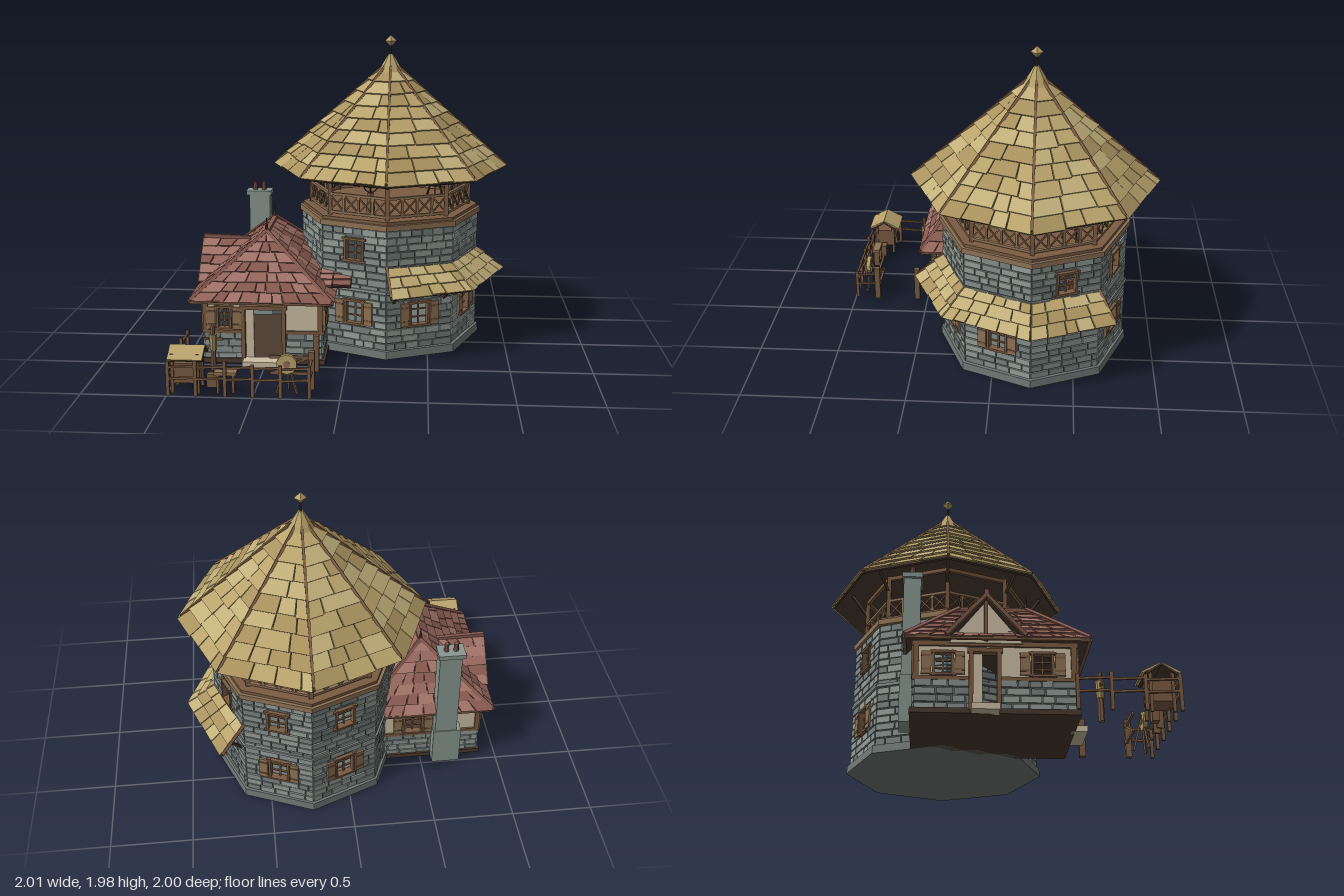
import * as THREE from 'three';
import { mergeGeometries } from 'three/addons/utils/BufferGeometryUtils.js';

const STONE = [0x87918d, 0x78827f, 0x959f99], MORTAR = 0x5f6765;
const STRAW = [0xb8a36b, 0xa8925e, 0xc2b07a], RED = [0x96675c, 0x875a50, 0xa3746a];
const WOOD = 0x7a5c42, PALE = 0x8f7355, DARK = 0x4a3a2e, PLASTER = 0xcdbfa5, CHIMNEY = 0x8a9891;
const V = (x, y, z) => new THREE.Vector3(x, y, z);
const UP = V(0, 1, 0), I = new THREE.Matrix4();

export function createModel() {
  const parts = new Map();
  let seed = 7;
  const rnd = () => (seed = (seed * 16807) % 2147483647) / 2147483647;
  const pick = (list) => list[Math.floor(rnd() * list.length)];

  // Collects geometry per part name and colour
  function add(name, color, geo, m = I) {
    const g = geo.index ? geo.toNonIndexed() : geo;
    g.deleteAttribute('uv');
    g.applyMatrix4(m);
    const byColor = parts.get(name) ?? parts.set(name, new Map()).get(name);
    (byColor.get(color) ?? byColor.set(color, []).get(color)).push(g);
  }
  const box = (name, color, w, h, d, x, y, z, m = I) =>
    add(name, color, new THREE.BoxGeometry(w, h, d).translate(x, y, z), m);
  const cyl = (name, color, r0, r1, h, n, x, y, z) =>
    add(name, color, new THREE.CylinderGeometry(r0, r1, h, n).translate(x, y, z));
  function beam(name, color, p, q, w, d = w, m = I) {
    const dir = q.clone().sub(p), len = dir.length();
    const g = new THREE.BoxGeometry(w, len, d);
    g.applyQuaternion(new THREE.Quaternion().setFromUnitVectors(UP, dir.normalize()));
    g.translate((p.x + q.x) / 2, (p.y + q.y) / 2, (p.z + q.z) / 2);
    add(name, color, g, m);
  }
  // Frame on a wall: local x runs along it, local z points outward
  const face = (cx, cz, yaw, dist) => new THREE.Matrix4().makeTranslation(cx, 0, cz)
    .multiply(new THREE.Matrix4().makeRotationY(yaw)).multiply(new THREE.Matrix4().makeTranslation(0, 0, dist));

  // Closed slab from four top corners (counter-clockwise) and four lower ones
  function slab(name, color, top, n, t) {
    const c = [...top, ...top.map((p) => p.clone().addScaledVector(n, -t))];
    const quads = [[0, 1, 2, 3], [7, 6, 5, 4], [0, 4, 5, 1], [1, 5, 6, 2], [2, 6, 7, 3], [3, 7, 4, 0]];
    const pos = quads.flatMap(([a, b, d, e]) => [a, b, d, a, d, e].flatMap((i) => c[i].toArray()));
    const g = new THREE.BufferGeometry();
    g.setAttribute('position', new THREE.Float32BufferAttribute(pos, 3));
    g.computeVertexNormals();
    add(name, color, g);
  }
  // Roof face with overlapping shingle rows; A, B on the eave, C, D above B, A
  function shingles(name, colors, A, B, C, D, rows, width, lift = 0.016) {
    let n = B.clone().sub(A).cross(D.clone().sub(A)).normalize();
    if (n.y < 0) { [A, B, C, D] = [B, A, D, C]; n.negate(); }
    slab(name, DARK, [A, B, C, D], n, 0.012);
    const at = (u, t, h) => A.clone().lerp(D, t).lerp(B.clone().lerp(C, t), u).addScaledVector(n, h);
    for (let i = 0; i < rows; i++) {
      const t0 = i / rows, t1 = Math.min(1, (i + 1.15) / rows);
      const len = at(0, t0, 0).distanceTo(at(1, t0, 0));
      for (let u = 0; u < 0.999;) {
        let v = u + (width * (0.6 + 0.8 * rnd())) / len;
        if (v > 1 - (0.4 * width) / len) v = 1;
        const lo = t0 - (rnd() * 0.12) / rows, h = lift * (0.85 + 0.3 * rnd()), e = Math.min(0.003 / len, (v - u) / 4);
        slab(name, pick(colors), [at(u + e, lo, h), at(v - e, lo, h), at(v - e, t1, 0.004), at(u + e, t1, 0.004)], n, 0.011);
        u = v;
      }
    }
  }
  // Wall panel with rectangular holes [x0, x1, y0, y1]
  function wall(name, color, m, w, y0, y1, holes, t = 0.03) {
    const cuts = (lo, hi, vals) => [...new Set([lo, hi, ...vals.filter((v) => v > lo && v < hi)])].sort((a, b) => a - b);
    const xs = cuts(-w / 2, w / 2, holes.flatMap((h) => [h[0], h[1]])), ys = cuts(y0, y1, holes.flatMap((h) => [h[2], h[3]]));
    for (let i = 1; i < xs.length; i++) for (let j = 1; j < ys.length; j++) {
      const x = (xs[i] + xs[i - 1]) / 2, y = (ys[j] + ys[j - 1]) / 2;
      if (holes.some((h) => x > h[0] && x < h[1] && y > h[2] && y < h[3])) continue;
      box(name, color, xs[i] - xs[i - 1], ys[j] - ys[j - 1], t, x, y, -t / 2, m);
    }
  }
  // Courses of stones, cut around the holes
  function stones(name, m, w, y0, y1, rows, holes) {
    const h = (y1 - y0) / rows;
    for (let i = 0; i < rows; i++) {
      const y = y0 + h * i;
      for (let x = -w / 2; x < w / 2 - 0.001;) {
        let e = x + 0.06 + rnd() * 0.07;
        if (e > w / 2 - 0.03) e = w / 2;
        let runs = [[x, e]];
        for (const [a, b, c, d] of holes) if (y + h > c && y < d)
          runs = runs.flatMap(([p, q]) => [[p, Math.min(q, a)], [Math.max(p, b), q]]).filter(([p, q]) => q - p > 0.012);
        for (const [p, q] of runs) {
          const out = 0.006 + rnd() * 0.006;
          box(name, pick(STONE), q - p - 0.007, h - 0.008, out, (p + q) / 2, y + h / 2, out / 2, m);
        }
        x = e;
      }
    }
  }
  function windowFrame(name, m, [a, b, c, d], shutters) {
    const x = (a + b) / 2, y = (c + d) / 2, w = b - a, h = d - c;
    for (const s of [-1, 1]) {
      box(name, WOOD, 0.014, h + 0.02, 0.04, x + (s * w) / 2, y, 0, m);
      box(name, WOOD, w + 0.04, 0.014, 0.045, x, y + (s * h) / 2, 0, m);
      if (shutters) {
        box('shutters', PALE, 0.055, h, 0.012, x + s * (w / 2 + 0.04), y, 0.016, m);
        for (const k of [-1, 1]) box('shutters', WOOD, 0.055, 0.012, 0.018, x + s * (w / 2 + 0.04), y + k * h * 0.3, 0.016, m);
      }
    }
    box(name, WOOD, 0.009, h, 0.012, x, y, -0.012, m);
    for (const k of [-1, 1]) box(name, WOOD, w, 0.008, 0.012, x, y + (k * h) / 6, -0.012, m);
  }

  // ---- Tower, an octagon with corners on the axes ----
  const TX = 0.24, TZ = -0.24, S = Math.PI / 4;
  const oct = (i, r, y) => V(TX + r * Math.sin(i * S), y, TZ + r * Math.cos(i * S));
  cyl('towerPlinth', 0x6f7876, 0.595, 0.6, 0.05, 8, TX, 0.025, TZ);
  const R = 0.57, apo = R * Math.cos(S / 2), side = 2 * R * Math.sin(S / 2);
  const low = [-0.06, 0.06, 0.2, 0.35], high = [-0.06, 0.06, 0.61, 0.75];
  const lowFaces = [7, 0, 1, 3, 4], highFaces = [7, 2, 3, 4];
  for (let i = 0; i < 8; i++) {
    const m = face(TX, TZ, (i + 0.5) * S, apo), holes = [];
    if (lowFaces.includes(i)) holes.push(low);
    if (highFaces.includes(i)) holes.push(high);
    wall('towerWall', MORTAR, m, side, 0.04, 0.83, holes);
    stones('towerStones', m, side + 0.006, 0.05, 0.82, 17, holes);
    for (const h of holes) windowFrame('towerWindow', m, h, h === low);
    box('stoneBand', STONE[0], side + 0.01, 0.018, 0.02, 0, 0.425, 0.008, m);
  }
  // Books behind one upper window
  const shelf = face(TX, TZ, 2.5 * S, apo - 0.035);
  for (let i = 0; i < 8; i++)
    box('books', [0x8a4a42, 0x4a5a80, 0x9a6a50][i % 3], 0.026, 0.055, 0.02, -0.045 + (i % 4) * 0.03, i < 4 ? 0.64 : 0.715, 0, shelf);

  // Lookout deck, posts and railing
  cyl('deck', PALE, 0.595, 0.595, 0.035, 8, TX, 0.84, TZ);
  cyl('deck', WOOD, 0.575, 0.575, 0.02, 8, TX, 0.867, TZ);
  for (let i = 0; i < 8; i++) {
    const p = 0.515;
    beam('deckPost', WOOD, oct(i, p, 0.87), oct(i, p, 1.18), 0.026);
    const m = face(TX, TZ, (i + 0.5) * S, p * Math.cos(S / 2)), w = 2 * p * Math.sin(S / 2);
    box('roofBeam', WOOD, w, 0.025, 0.022, 0, 1.165, 0, m);
    for (const y of [0.895, 1.01]) box('railing', PALE, w, 0.016, 0.02, 0, y, 0, m);
    for (let k = 0; k < 4; k++) {
      const x0 = -w / 2 + (k * w) / 4, x1 = x0 + w / 4;
      box('railing', PALE, 0.014, 0.12, 0.014, x1, 0.95, 0, m);
      beam('railing', WOOD, V(x0, 0.9, 0), V(x1, 1.005, 0), 0.009, 0.009, m);
      beam('railing', WOOD, V(x1, 0.9, 0.002), V(x0, 1.005, 0.002), 0.009, 0.009, m);
    }
  }
  // Telescope and ringed globe on the deck
  beam('telescope', WOOD, V(0.49, 1.0, -0.42), V(0.6, 1.12, -0.53), 0.026);
  for (const k of [0, 1, 2]) beam('telescope', DARK, V(0.54, 1.05, -0.47),
    V(0.54 + 0.06 * Math.sin(k * 2.1), 0.87, -0.47 + 0.06 * Math.cos(k * 2.1)), 0.01);
  cyl('globe', WOOD, 0.02, 0.035, 0.14, 6, 0.13, 0.945, 0.12);
  for (const a of [0, Math.PI / 2]) add('globe', DARK, new THREE.TorusGeometry(0.042, 0.004, 4, 16).rotateY(a).translate(0.13, 1.06, 0.12));
  add('globe', DARK, new THREE.TorusGeometry(0.042, 0.004, 4, 16).rotateX(Math.PI / 2).translate(0.13, 1.06, 0.12));
  cyl('globe', DARK, 0.003, 0.003, 0.11, 4, 0.13, 1.055, 0.12);

  // Tower roof with hip ridges and finial
  for (let i = 0; i < 8; i++) {
    shingles('towerRoof', STRAW, oct(i, 0.745, 1.13), oct(i + 1, 0.745, 1.13), oct(i + 1, 0.06, 1.75), oct(i, 0.06, 1.75), 9, 0.15, 0.02);
    beam('roofRidge', WOOD, oct(i, 0.74, 1.15), oct(i, 0.05, 1.775), 0.016);
    beam('rafter', DARK, oct(i, 0.5, 1.05), oct(i, 0.62, 1.22), 0.018);
  }
  cyl('roofTip', STRAW[0], 0.016, 0.082, 0.11, 8, TX, 1.795, TZ);
  cyl('finial', DARK, 0.006, 0.008, 0.08, 6, TX, 1.88, TZ);
  add('finial', STRAW[0], new THREE.OctahedronGeometry(0.038).translate(TX, 1.935, TZ));

  // Awning round three faces
  for (let i = 0; i < 3; i++) {
    const a = i === 0 ? 0.06 : i, b = i === 2 ? 2.94 : i + 1;
    shingles('awning', STRAW, oct(a, 0.745, 0.44), oct(b, 0.745, 0.44), oct(i + 1, 0.56, 0.59), oct(i, 0.56, 0.59), 3, 0.12);
    const m = face(TX, TZ, (i + 0.5) * S, apo);
    for (const s of [-0.17, 0.17]) beam('awningBrace', DARK, V(s, 0.36, 0), V(s, 0.47, 0.11), 0.016, 0.016, m);
  }
  for (const i of [0, 3]) beam('awning', WOOD, oct(i ? 2.94 : 0.06, 0.74, 0.45), oct(i, 0.56, 0.6), 0.018);

  // ---- Cottage ----
  const HX = -0.515, HZ = 0.015;
  box('cottageFloor', DARK, 0.77, 0.03, 0.91, HX, 0.015, HZ);
  const sides = [
    { yaw: 0, d: 0.435, w: 0.73, door: [-0.12, 0.13, 0.03, 0.36], wins: [[-0.28, -0.2, 0.22, 0.36]] },
    { yaw: Math.PI, d: 0.435, w: 0.73, door: null, wins: [[-0.13, -0.01, 0.22, 0.36]] },
    { yaw: -Math.PI / 2, d: 0.365, w: 0.87, door: [-0.13, 0.02, 0.03, 0.35], wins: [[0.2, 0.31, 0.22, 0.35], [-0.33, -0.23, 0.22, 0.35]] },
    { yaw: Math.PI / 2, d: 0.365, w: 0.87, door: null, wins: [[-0.38, -0.3, 0.22, 0.35]] },
  ];
  for (const { yaw, d, w, door, wins } of sides) {
    const m = face(HX, HZ, yaw, d), holes = door ? [door, ...wins] : wins;
    wall('cottageBase', MORTAR, m, w, 0.02, 0.2, holes, 0.035);
    wall('cottagePlaster', PLASTER, m, w, 0.2, 0.42, holes, 0.025);
    stones('cottageStones', m, w, 0.02, 0.195, 4, holes);
    wall('timberFrame', WOOD, face(HX, HZ, yaw, d + 0.012), w + 0.02, 0.19, 0.212, holes, 0.02);
    box('timberFrame', WOOD, w + 0.02, 0.028, 0.03, 0, 0.4, 0, m);
    for (const s of [-1, 1]) box('timberFrame', WOOD, 0.03, 0.2, 0.03, s * (w / 2 - 0.01), 0.3, 0, m);
    for (const h of wins) windowFrame('cottageWindow', m, h, true);
    if (door) {
      for (const x of [door[0], door[1]]) box('doorFrame', WOOD, 0.024, 0.34, 0.05, x, 0.19, 0, m);
      box('doorFrame', WOOD, door[1] - door[0] + 0.04, 0.024, 0.05, (door[0] + door[1]) / 2, 0.36, 0, m);
      box('doorStep', PLASTER, door[1] - door[0], 0.035, 0.09, (door[0] + door[1]) / 2, 0.0175, 0.045, m);
      box('door', PLASTER, 0.055, 0.32, 0.014, door[0] + 0.035, 0.19, -0.015, m);
    }
  }

  // Hipped roof with side gable
  const E = 0.41, x0 = -0.95, x1 = -0.085, z0 = -0.475, z1 = 0.525;
  const c = [V(x0, E, z1), V(x1, E, z1), V(x1, E, z0), V(x0, E, z0)];
  const rf = V(HX, 0.775, 0.22), rb = V(HX, 0.775, -0.17);
  shingles('cottageRoof', RED, c[0], c[1], rf, rf, 7, 0.1);
  shingles('cottageRoof', RED, c[1], c[2], rb, rf, 7, 0.1);
  shingles('cottageRoof', RED, c[2], c[3], rb, rb, 7, 0.1);
  shingles('cottageRoof', RED, c[3], c[0], rf, rb, 7, 0.1);
  c.forEach((p, i) => {
    beam('cottageRidge', RED[1], p.clone().add(V(0, 0.014, 0)), (i < 2 ? rf : rb).clone().add(V(0, 0.014, 0)), 0.022);
    beam('eaveBoard', WOOD, p, c[(i + 1) % 4], 0.02);
  });
  beam('cottageRidge', RED[1], rf, rb, 0.03);
  for (const p of [rf, rb]) cyl('ridgeSpike', DARK, 0.001, 0.014, 0.1, 5, p.x, 0.825, p.z);
  const gz = -0.035, g0 = V(-0.965, 0.67, gz), g1 = V(-0.63, 0.67, gz);
  for (const s of [-1, 1]) {
    const z = gz + s * 0.215;
    shingles('gableRoof', RED, V(-0.965, 0.43, z), V(-0.925, 0.43, z), g1, g0, 5, 0.1);
    beam('gableBoard', WOOD, V(-0.96, 0.425, z), V(-0.96, 0.665, gz), 0.02);
  }
  const gable = new THREE.Shape([[-0.2, 0.4], [0.2, 0.4], [0, 0.65]].map((p) => new THREE.Vector2(...p)));
  add('gableWall', PLASTER, new THREE.ExtrudeGeometry(gable, { depth: 0.03, bevelEnabled: false }), face(HX, gz, -Math.PI / 2, 0.36));
  box('gableWall', WOOD, 0.02, 0.24, 0.02, -0.907, 0.53, gz);
  beam('gableRidge', RED[1], g0.clone().add(V(0, 0.012, 0)), g1, 0.024);
  shingles('linkRoof', RED, V(-0.18, 0.46, 0.32), V(0.02, 0.46, 0.32), V(0.02, 0.53, 0.16), V(-0.18, 0.53, 0.16), 3, 0.08);

  // Chimney
  box('chimney', CHIMNEY, 0.18, 0.27, 0.13, -0.66, 0.135, -0.435);
  box('chimney', CHIMNEY, 0.14, 0.64, 0.1, -0.65, 0.57, -0.445);
  box('chimneyCap', CHIMNEY, 0.17, 0.03, 0.115, -0.655, 0.89, -0.445);
  for (const x of [-0.685, -0.625]) cyl('chimneyPot', RED[1], 0.014, 0.017, 0.06, 8, x, 0.93, -0.445);

  // ---- Yard: fence, gate, stall, target, dummy and crates ----
  const fence = [[-0.99, 0.44], [-0.99, 0.62], [-0.99, 0.8], [-0.99, 0.985], [-0.83, 0.985], [-0.66, 0.985], [-0.5, 0.985], [-0.34, 0.985], [-0.175, 0.985], [-0.175, 0.85]];
  fence.forEach(([x, z], i) => {
    const h = 0.19 + 0.03 * rnd(), next = fence[i + 1];
    box('fencePost', WOOD, 0.02, h, 0.02, x, h / 2, z);
    if (next) for (const y of [0.1, 0.17]) beam('fenceRail', WOOD, V(x, y, z), V(next[0], y + 0.01, next[1]), 0.012);
  });
  for (const z of [0.57, 0.845]) box('gatePost', WOOD, 0.036, 0.23, 0.036, -0.175, 0.115, z);
  for (const y of [0.09, 0.19]) box('gate', WOOD, 0.24, 0.018, 0.014, -0.3, y, 0.835);
  beam('gate', WOOD, V(-0.41, 0.09, 0.835), V(-0.19, 0.19, 0.835), 0.014);

  for (const x of [-0.97, -0.82]) for (const z of [0.83, 0.95]) box('stallPost', WOOD, 0.018, 0.24, 0.018, x, 0.12, z);
  box('stallBox', WOOD, 0.15, 0.12, 0.12, -0.895, 0.12, 0.89);
  for (const s of [-1, 1])
    shingles('stallRoof', [STRAW[0]], V(-0.995, 0.21, 0.89 + s * 0.09), V(-0.785, 0.21, 0.89 + s * 0.09), V(-0.785, 0.27, 0.89), V(-0.995, 0.27, 0.89), 1, 1);
  box('crate', WOOD, 0.06, 0.08, 0.04, -0.75, 0.06, 0.89);
  box('bench', PALE, 0.13, 0.02, 0.05, -0.665, 0.12, 0.925);
  for (const x of [-0.71, -0.62]) box('bench', WOOD, 0.015, 0.12, 0.04, x, 0.06, 0.925);

  add('target', STRAW[0], new THREE.CylinderGeometry(0.06, 0.06, 0.025, 10).rotateX(Math.PI / 2).translate(-0.31, 0.18, 0.92));
  add('target', RED[0], new THREE.CylinderGeometry(0.02, 0.02, 0.03, 8).rotateX(Math.PI / 2).translate(-0.31, 0.18, 0.92));
  for (const [dx, dz] of [[-0.06, 0.02], [0.06, 0.02], [0, -0.06]]) beam('targetLeg', WOOD, V(-0.31, 0.22, 0.91), V(-0.31 + dx, 0, 0.91 + dz), 0.012);
  cyl('dummy', WOOD, 0.014, 0.018, 0.28, 6, -0.8, 0.14, 0.59);
  cyl('dummy', STRAW[1], 0.026, 0.022, 0.1, 8, -0.8, 0.18, 0.59);
  box('dummy', WOOD, 0.12, 0.014, 0.014, -0.8, 0.2, 0.59);

  // One group per part, one mesh per colour
  const model = new THREE.Group();
  for (const [name, byColor] of parts) {
    const group = new THREE.Group();
    group.name = name;
    for (const [color, list] of byColor) {
      const mesh = new THREE.Mesh(mergeGeometries(list), new THREE.MeshStandardMaterial({ color, flatShading: true }));
      mesh.name = name;
      group.add(mesh);
    }
    model.add(group);
  }
  return model;
}
